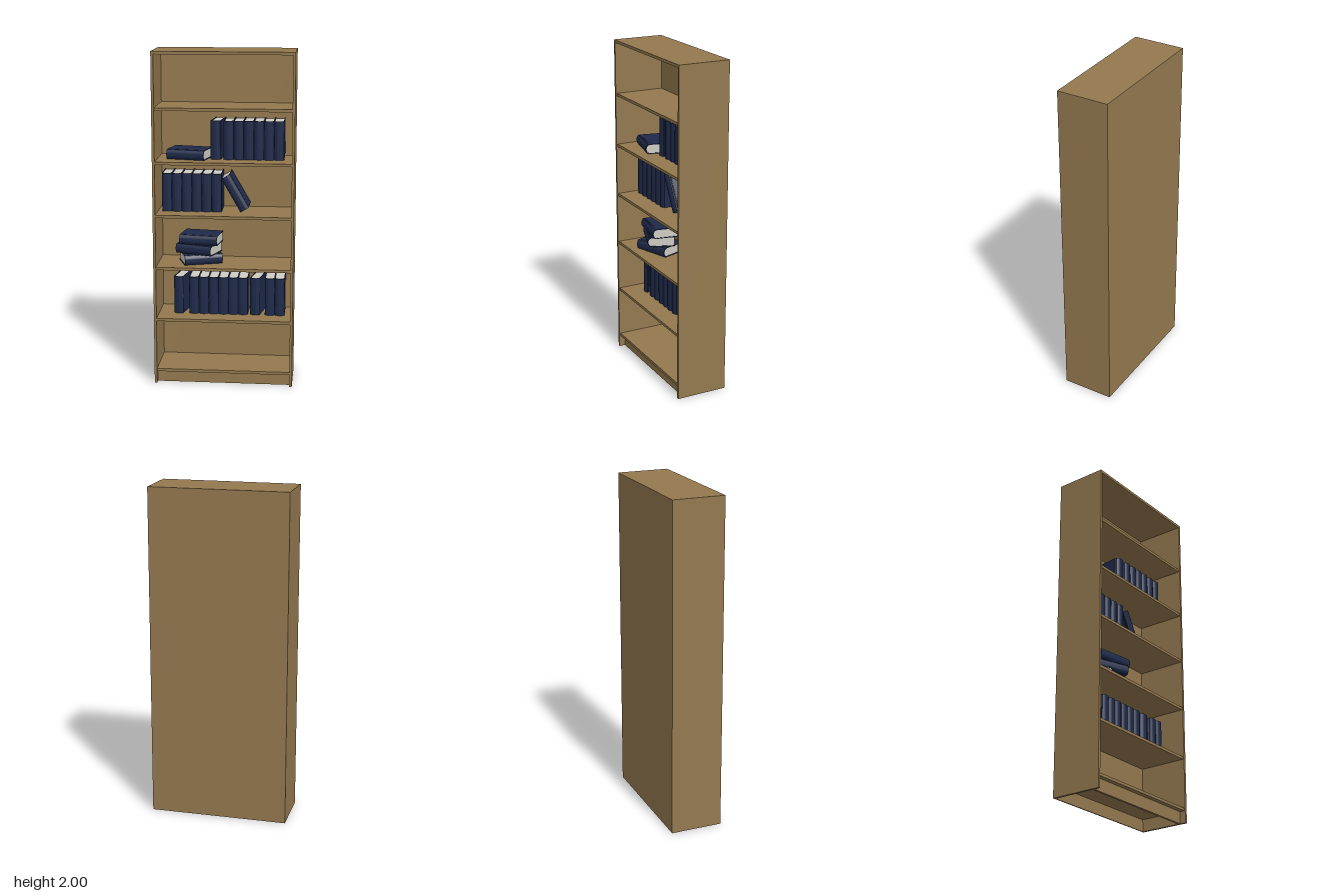
import * as THREE from 'three';
import { toCreasedNormals } from 'three/addons/utils/BufferGeometryUtils.js';

const material = (name, color) => {
  const m = new THREE.MeshStandardMaterial({ color });
  m.name = name;
  return m;
};

export function createModel() {
  const wood = material('wood', 0x94794f);
  const cover = material('navy cover', 0x1f2a4a);
  const paper = material('paper', 0xcfcdc3);

  const model = new THREE.Group();
  model.name = 'bookcase';

  // Box given by its limits on each axis
  function board(name, [x0, x1], [y0, y1], [z0, z1]) {
    const mesh = new THREE.Mesh(new THREE.BoxGeometry(x1 - x0, y1 - y0, z1 - z0), wood);
    mesh.position.set((x0 + x1) / 2, (y0 + y1) / 2, (z0 + z1) / 2);
    mesh.name = name;
    model.add(mesh);
  }

  // Case
  const W = 0.415, D = 0.157, inner = 0.4, T = 0.017;
  board('leftSide', [inner, W], [0, 2], [-D, D]);
  board('rightSide', [-W, -inner], [0, 2], [-D, D]);
  board('topPanel', [-inner, inner], [2 - T, 2], [-D, D]);
  board('backPanel', [-inner, inner], [0, 2 - T], [-D, -D + 0.007]);
  board('kickPlate', [-inner, inner], [0, 0.09 - T], [0.105, 0.12]);

  // Shelves, evenly spaced; shelfTop(0) is the lowest
  const shelfTop = (i) => 0.09 + i * 0.317;
  for (let i = 0; i < 6; i++) {
    board('shelf', [-inner, inner], [shelfTop(i) - T, shelfTop(i)], [-D + 0.007, 0.15]);
  }

  // Book standing upright about its centre, spine towards +z
  const H = 0.23, B = 0.0595, half = B / 2, deep = 0.085, C = 0.004;

  // Extrudes a plan outline (y of the shape = -z) into an upright prism
  function upright(shape, height) {
    const g = new THREE.ExtrudeGeometry(shape, { depth: height, bevelEnabled: false, curveSegments: 8 });
    g.translate(0, 0, -height / 2);
    g.rotateX(-Math.PI / 2);
    return toCreasedNormals(g, 0.6);
  }

  // Wrap-round cover with hinge grooves and a rounded spine
  const wrap = new THREE.Shape();
  wrap.moveTo(-half, deep);
  wrap.lineTo(-half, -0.060);
  wrap.lineTo(-half + 0.003, -0.064);
  wrap.lineTo(-half, -0.068);
  wrap.lineTo(-half + 0.001, -0.073);
  wrap.quadraticCurveTo(0, -deep - 0.012, half - 0.001, -0.073);
  wrap.lineTo(half, -0.068);
  wrap.lineTo(half - 0.003, -0.064);
  wrap.lineTo(half, -0.060);
  wrap.lineTo(half, deep);
  wrap.lineTo(half - C, deep);
  wrap.lineTo(half - C, -0.056);
  wrap.lineTo(half - 0.008, -0.070);
  wrap.quadraticCurveTo(0, -deep - 0.003, -half + 0.008, -0.070);
  wrap.lineTo(-half + C, -0.056);
  wrap.lineTo(-half + C, deep);
  const coverGeometry = upright(wrap, H);

  // Page block
  const block = new THREE.Shape();
  block.moveTo(-half + C, deep - 0.005);
  block.lineTo(-half + C, -0.056);
  block.lineTo(-half + 0.008, -0.070);
  block.quadraticCurveTo(0, -deep - 0.003, half - 0.008, -0.070);
  block.lineTo(half - C, -0.056);
  block.lineTo(half - C, deep - 0.005);
  const pageGeometry = upright(block, H - 0.008);

  const Z = -0.05;
  function book(name, x, y, z, turn = 0, tilt = 0) {
    const g = new THREE.Group();
    g.name = name;
    const c = new THREE.Mesh(coverGeometry, cover);
    c.name = 'cover';
    const p = new THREE.Mesh(pageGeometry, paper);
    p.name = 'pages';
    g.add(c, p);
    g.position.set(x, y, z);
    g.rotation.set(0, turn, tilt);
    model.add(g);
  }
  const standing = (shelf, x, turn = 0) =>
    book('standingBook', x, shelfTop(shelf) + H / 2, Z, turn);
  const row = (shelf, start, count) => {
    for (let i = 0; i < count; i++) standing(shelf, start + (i + 0.5) * B, 0);
  };
  const lying = (shelf, level, x, turn) =>
    book('lyingBook', x, shelfTop(shelf) + (level + 0.5) * B, -0.01, turn, Math.PI / 2);

  // Second shelf: rows with two slightly turned books
  standing(1, -0.269, -0.17);
  row(1, -0.218, 6);
  standing(1, 0.194, -0.18);
  row(1, 0.242, 2);

  // Third shelf: loose stack
  lying(2, 0, -0.148, 0.33);
  lying(2, 1, -0.16, -0.35);
  lying(2, 2, -0.145, -0.15);

  // Fourth shelf: row with one book leaning on it
  row(3, -0.377, 6);
  book('leaningBook', 0.06, shelfTop(3) + 0.1145, Z, 0, 0.525);

  // Fifth shelf: one lying book and a row
  lying(4, 0, -0.215, -0.21);
  standing(4, -0.047, -0.12);
  row(4, -0.008, 6);

  return model;
}
